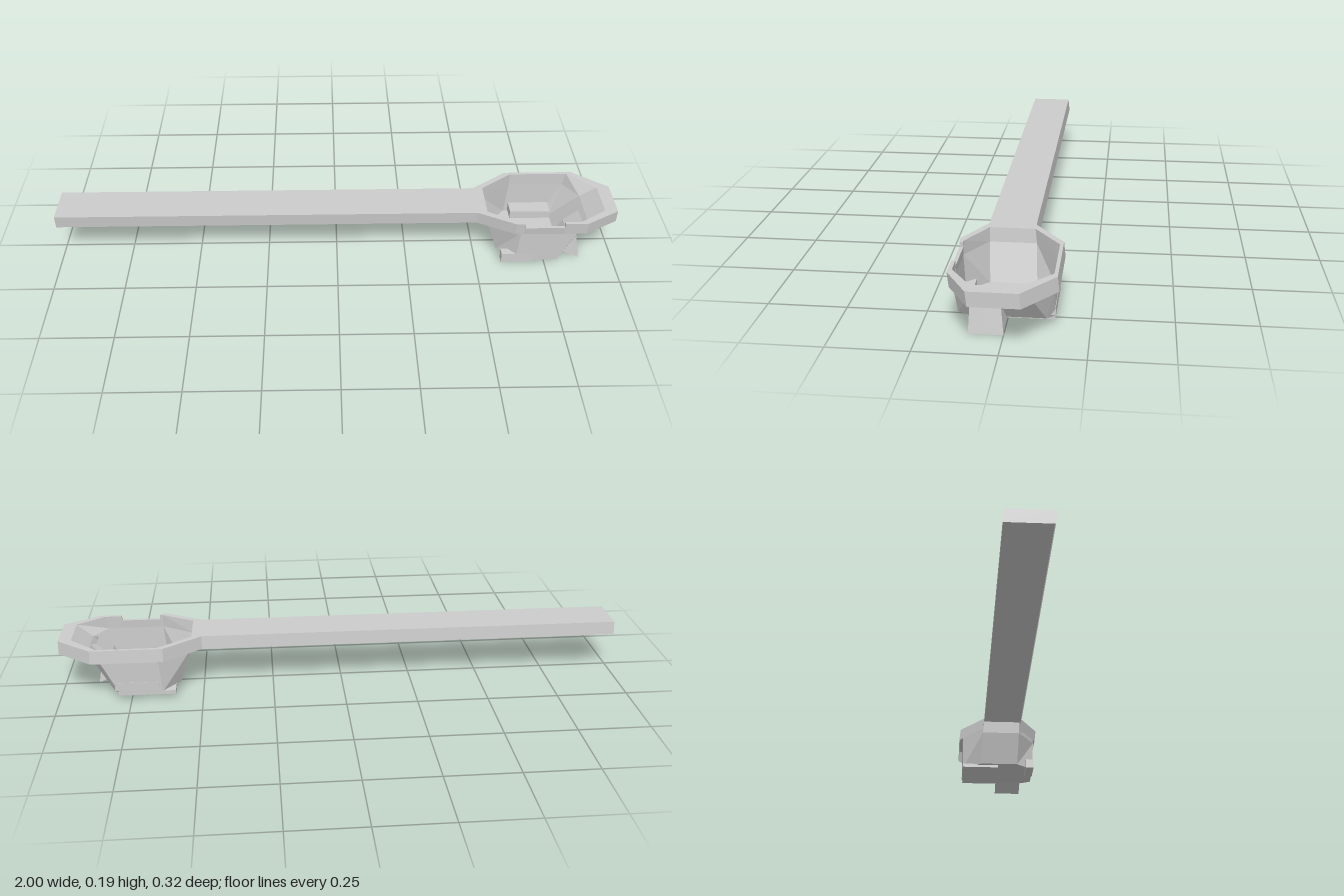
import * as THREE from 'three';

const material = new THREE.MeshStandardMaterial({ color: 0xcccccc, flatShading: true, side: THREE.DoubleSide });
const TOP = 0.195, SKIRT = 0.148, NOTCH = 0.178;

// Joins a list of rings (each a list of [x, y, z]) with quads; optionally caps the last ring.
function loft(name, rings, closed = true, cap = false) {
  const pos = [];
  const n = rings[0].length;
  for (let r = 0; r + 1 < rings.length; r++) {
    const a = rings[r], b = rings[r + 1];
    for (let i = 0; i < (closed ? n : n - 1); i++) {
      const j = (i + 1) % n;
      pos.push(...a[i], ...a[j], ...b[j], ...a[i], ...b[j], ...b[i]);
    }
  }
  if (cap) {
    const last = rings[rings.length - 1];
    for (let i = 1; i + 1 < n; i++) pos.push(...last[0], ...last[i + 1], ...last[i]);
  }
  const g = new THREE.BufferGeometry();
  g.setAttribute('position', new THREE.Float32BufferAttribute(pos, 3));
  g.computeVertexNormals();
  const mesh = new THREE.Mesh(g, material);
  mesh.name = name;
  return mesh;
}

// Outlines run from the back of the neck around the tip to the front of the neck.
const outer = [[0.5, -0.06], [0.63, -0.157], [0.88, -0.157], [1, -0.06], [1, 0.091],
  [0.88, 0.162], [0.8, 0.162], [0.8, 0.162], [0.66, 0.162], [0.66, 0.162], [0.63, 0.162], [0.5, 0.091]];
const inner = [[0.535, -0.06], [0.65, -0.146], [0.86, -0.146], [0.955, -0.055], [0.955, 0.085],
  [0.86, 0.15], [0.8, 0.15], [0.8, 0.15], [0.66, 0.15], [0.66, 0.15], [0.65, 0.15], [0.535, 0.085]];
// The front of the rim has a shallow notch at points 7 and 8.
const rimY = i => (i === 7 || i === 8 ? NOTCH : TOP);
const raise = outline => outline.map(([x, z], i) => [x, rimY(i), z]);
const lower = (outline, y, dz = 0) => outline.map(([x, z]) => [x, y, z + dz]);

export function createModel() {
  const model = new THREE.Group();
  model.name = 'spoon';

  // Handle: a flat top with thin walls, hollow underneath
  const grip = [[0.5, 0.091], [-1, 0.091], [-1, -0.06], [0.5, -0.06]];
  model.add(loft('handleTop', [
    [[0.5, TOP, 0.091], [-1, TOP, 0.091]],
    [[0.5, TOP, -0.06], [-1, TOP, -0.06]],
  ], false));
  model.add(loft('handleWalls', [lower(grip, TOP), lower(grip, SKIRT, -0.005)], false));

  // Rim: flat octagonal band with a thin skirt
  model.add(loft('rimTop', [raise(inner), raise(outer)]));
  model.add(loft('rimSkirt', [raise(outer), lower(outer, SKIRT, -0.005)], false));

  // Bowl: eight tapering facets down to a flat floor
  const middle = [[0.54, -0.065], [0.65, -0.147], [0.85, -0.147], [0.9, -0.07], [0.9, 0.085],
    [0.85, 0.152], [0.8, 0.152], [0.8, 0.152], [0.66, 0.152], [0.66, 0.152], [0.65, 0.152], [0.54, 0.085]];
  const floor = [[0.58, -0.07], [0.64, -0.145], [0.79, -0.145], [0.81, -0.12], [0.81, 0.11],
    [0.79, 0.148], [0.78, 0.148], [0.78, 0.148], [0.66, 0.148], [0.66, 0.148], [0.64, 0.148], [0.58, 0.08]];
  model.add(loft('bowl', [raise(inner), lower(middle, SKIRT), lower(floor, 0.025)], true, true));

  // Flared panel hanging below the tip of the bowl
  model.add(loft('tipPanel', [
    [[0.9, 0.146, 0.085], [0.9, 0.146, 0.015], [0.88, 0.146, 0.015], [0.88, 0.146, 0.085]],
    [[0.862, 0.1, 0.1], [0.862, 0.1, 0.01], [0.83, 0.1, 0.01], [0.83, 0.1, 0.1]],
    [[0.88, 0, 0.105], [0.88, 0, 0], [0.8, 0.036, 0], [0.8, 0.036, 0.105]],
  ], true, true));

  // Small broken ledges around the foot of the bowl
  const ledges = [
    ['frontLedge', 0.645, 0.034, 0.133, 0.11, 0.036, 0.032],
    ['backLedge', 0.73, 0.05, -0.117, 0.15, 0.03, 0.06],
    ['foot', 0.695, 0.022, -0.072, 0.2, 0.014, 0.145],
  ];
  for (const [name, x, y, z, w, h, d] of ledges) {
    const ledge = new THREE.Mesh(new THREE.BoxGeometry(w, h, d), material);
    ledge.position.set(x, y, z);
    ledge.name = name;
    model.add(ledge);
  }
  return model;
}
